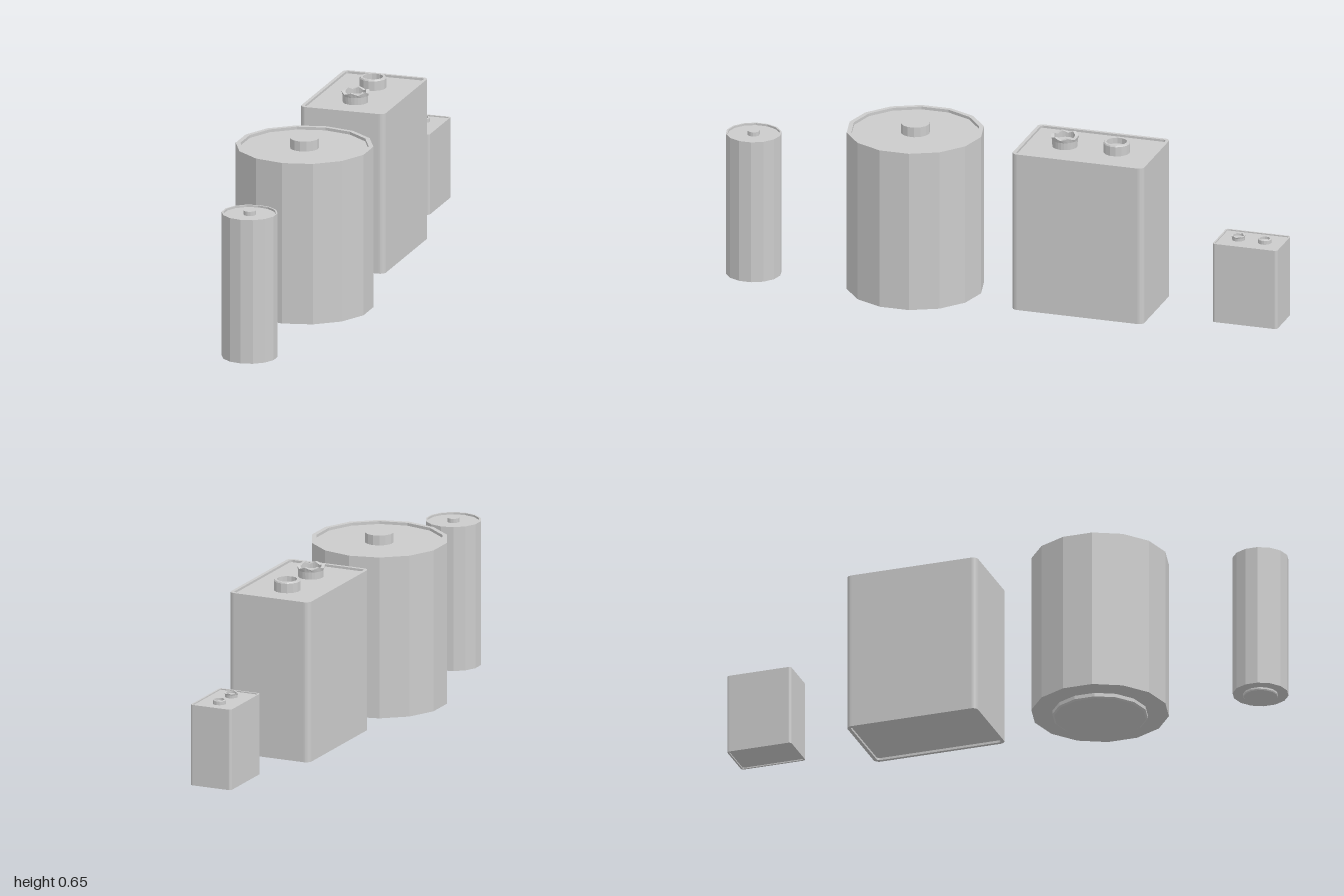
import * as THREE from 'three';

const grey = new THREE.MeshStandardMaterial({ color: 0xcccccc, flatShading: true });

function mesh(name, geometry, y = 0, z = 0) {
  const m = new THREE.Mesh(geometry, grey);
  m.name = name;
  m.position.set(0, y, z);
  return m;
}

// Revolved solid; the profile runs from the bottom axis to the top axis.
function turned(name, profile, sides) {
  return mesh(name, new THREE.LatheGeometry(profile.map(([r, y]) => new THREE.Vector2(r, y)), sides));
}

function roundedRect(hx, hz, r, Type = THREE.Shape) {
  const s = new Type();
  s.moveTo(hx, -hz + r);
  s.absarc(hx - r, hz - r, r, 0, Math.PI / 2);
  s.absarc(-hx + r, hz - r, r, Math.PI / 2, Math.PI);
  s.absarc(-hx + r, -hz + r, r, Math.PI, Math.PI * 1.5);
  s.absarc(hx - r, -hz + r, r, Math.PI * 1.5, Math.PI * 2);
  return s;
}

function slab(name, shape, y, height) {
  const g = new THREE.ExtrudeGeometry(shape, { depth: height, bevelEnabled: false, curveSegments: 3 });
  return mesh(name, g.rotateX(-Math.PI / 2), y);
}

// Cylindrical cell with a recessed top, contact button and stepped base.
function roundCell({ name, z, r, y0, y1, rim, recess, buttonR, buttonY, baseR, baseY }) {
  const cell = new THREE.Group();
  cell.name = name;
  cell.position.z = z;
  const floor = y1 - recess;
  cell.add(
    turned('casing', [[0, y0], [r, y0], [r, y1], [r - rim, y1], [r - rim, floor], [0, floor]], 14),
    turned('topContact', [[0, floor], [buttonR, floor], [buttonR, buttonY], [0, buttonY]], 14),
    turned('baseContact', [[0, baseY], [baseR * 0.96, baseY], [baseR, baseY + 0.004], [baseR, y0], [0, y0]], 14)
  );
  return cell;
}

// Hollow snap terminal; lobes > 0 gives it a wavy crown edge.
function snap(name, r, y0, y1, z, lobes) {
  const h = y1 - y0;
  const sides = lobes ? 24 : 14;
  const inner = r * 0.76;
  const profile = lobes
    ? [[0, y0], [r * 0.9, y0], [r * 0.92, y0 + h * 0.6], [r, y1], [inner, y1], [inner, y0 + h * 0.45], [0, y0 + h * 0.45]]
    : [[0, y0], [r, y0], [r, y1 - h * 0.12], [r * 0.94, y1], [inner, y1], [inner, y0 + h * 0.45], [0, y0 + h * 0.45]];
  const terminal = turned(name, profile, sides);
  terminal.position.z = z;
  if (lobes) {
    const p = terminal.geometry.attributes.position;
    for (let i = 0; i < p.count; i++) {
      if (p.getY(i) < y1 - 1e-5) continue;
      const wave = 0.5 - 0.5 * Math.cos(lobes * Math.atan2(p.getX(i), p.getZ(i)));
      p.setY(i, y1 - h * 0.2 * wave);
    }
  }
  return terminal;
}

// Box cell with raised rims at both ends and a pair of snap terminals.
function boxCell({ name, z, hx, hz, r, y0, y1, rim, recess, snapR, snapZ, crownY, studY }) {
  const cell = new THREE.Group();
  cell.name = name;
  cell.position.z = z;
  const ring = roundedRect(hx, hz, r);
  ring.holes.push(roundedRect(hx - rim, hz - rim, r * 0.5, THREE.Path));
  const floor = y1 - recess;
  cell.add(
    slab('casing', roundedRect(hx, hz, r), y0 + recess, y1 - y0 - 2 * recess),
    slab('topRim', ring, floor, recess),
    slab('bottomRim', ring, y0, recess),
    snap('crownTerminal', snapR, floor, crownY, snapZ, 6),
    snap('studTerminal', snapR * 0.96, floor, studY, -snapZ, 0)
  );
  return cell;
}

export function createModel() {
  const model = new THREE.Group();
  model.name = 'batterySet';
  model.add(
    roundCell({
      name: 'slimCell', z: 0.903, r: 0.096, y0: 0.01, y1: 0.52, rim: 0.006, recess: 0.007,
      buttonR: 0.021, buttonY: 0.528, baseR: 0.06, baseY: 0
    }),
    roundCell({
      name: 'wideCell', z: 0.323, r: 0.236, y0: 0.03, y1: 0.6, rim: 0.016, recess: 0.01,
      buttonR: 0.05, buttonY: 0.625, baseR: 0.164, baseY: 0.013
    }),
    boxCell({
      name: 'largeBoxCell', z: -0.307, hx: 0.152, hz: 0.236, r: 0.02, y0: 0.045, y1: 0.612, rim: 0.012,
      recess: 0.008, snapR: 0.048, snapZ: 0.093, crownY: 0.646, studY: 0.642
    }),
    boxCell({
      name: 'smallBoxCell', z: -0.884, hx: 0.077, hz: 0.116, r: 0.01, y0: 0.055, y1: 0.34, rim: 0.006,
      recess: 0.004, snapR: 0.024, snapZ: 0.047, crownY: 0.353, studY: 0.351
    })
  );
  return model;
}
